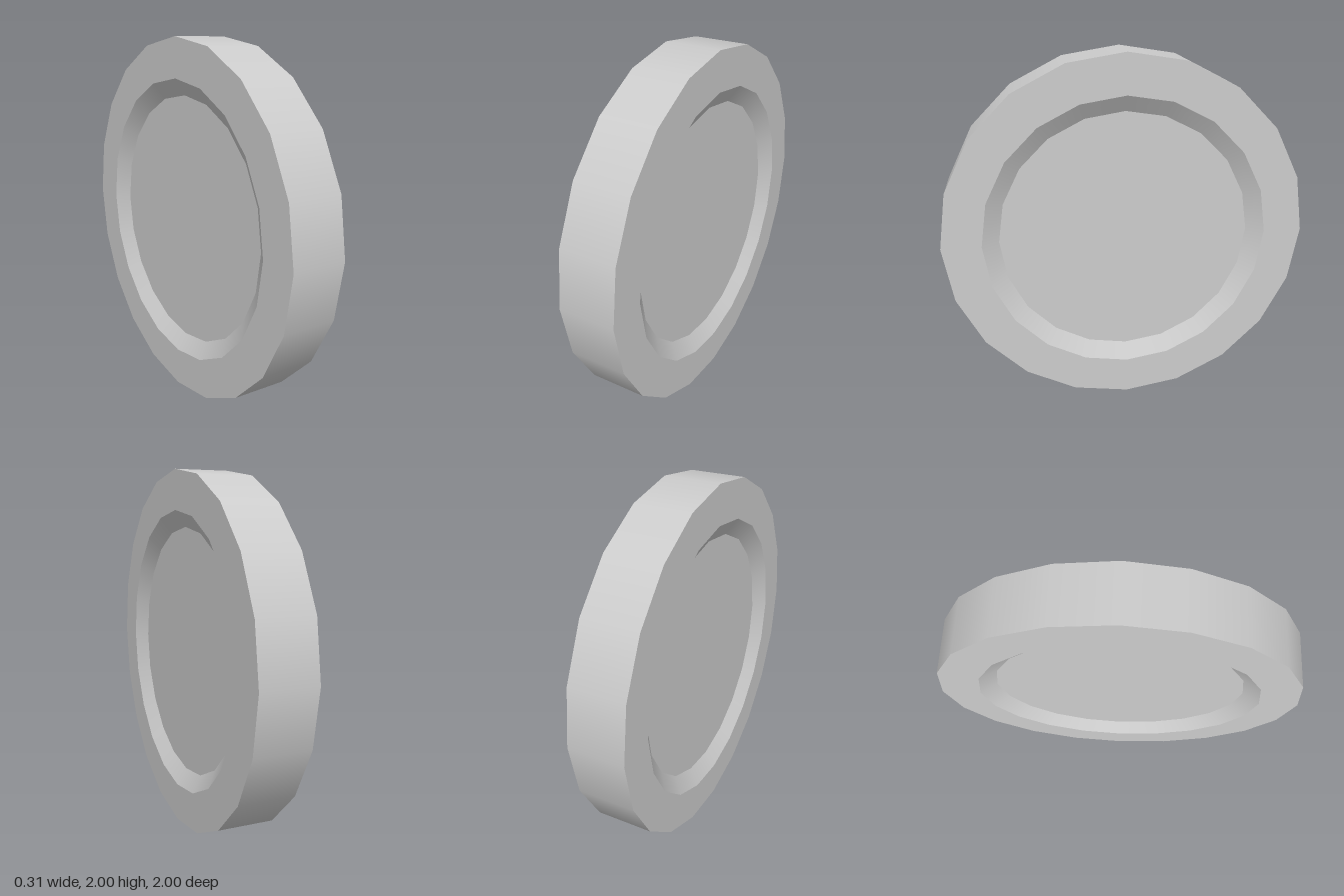
import * as THREE from 'three';

const SIDES = 20;
const HALF = 0.153;        // half thickness of the disc
const FLOOR = 0.095;       // recessed floor's distance from the middle
const R_OUTER = 1, R_LIP = 0.785, R_FLOOR = 0.695;

export function createModel() {
  const group = new THREE.Group();
  group.name = 'coin';
  const material = new THREE.MeshStandardMaterial({ color: 0xcccccc });

  function add(name, geometry) {
    const mesh = new THREE.Mesh(geometry, material);
    mesh.name = name;
    mesh.position.y = 1;
    group.add(mesh);
  }

  // One band of the turned profile, from (r0, x0) to (r1, x1), around the x axis;
  // separate bands keep the edges between them sharp
  function band(name, r0, x0, r1, x1) {
    const points = [new THREE.Vector2(r0, x0), new THREE.Vector2(r1, x1)];
    add(name, new THREE.LatheGeometry(points, SIDES).rotateZ(-Math.PI / 2));
  }

  band('edge', R_OUTER, -HALF, R_OUTER, HALF);

  // Left face: flat rim, sloped recess wall, floor
  band('leftRim', R_OUTER, HALF, R_LIP, HALF);
  band('leftRecessWall', R_LIP, HALF, R_FLOOR, FLOOR);
  add('leftFloor', new THREE.CircleGeometry(R_FLOOR, SIDES).rotateY(Math.PI / 2).translate(FLOOR, 0, 0));

  // Right face, mirrored
  band('rightRim', R_LIP, -HALF, R_OUTER, -HALF);
  band('rightRecessWall', R_FLOOR, -FLOOR, R_LIP, -HALF);
  add('rightFloor', new THREE.CircleGeometry(R_FLOOR, SIDES).rotateY(-Math.PI / 2).translate(-FLOOR, 0, 0));

  return group;
}
